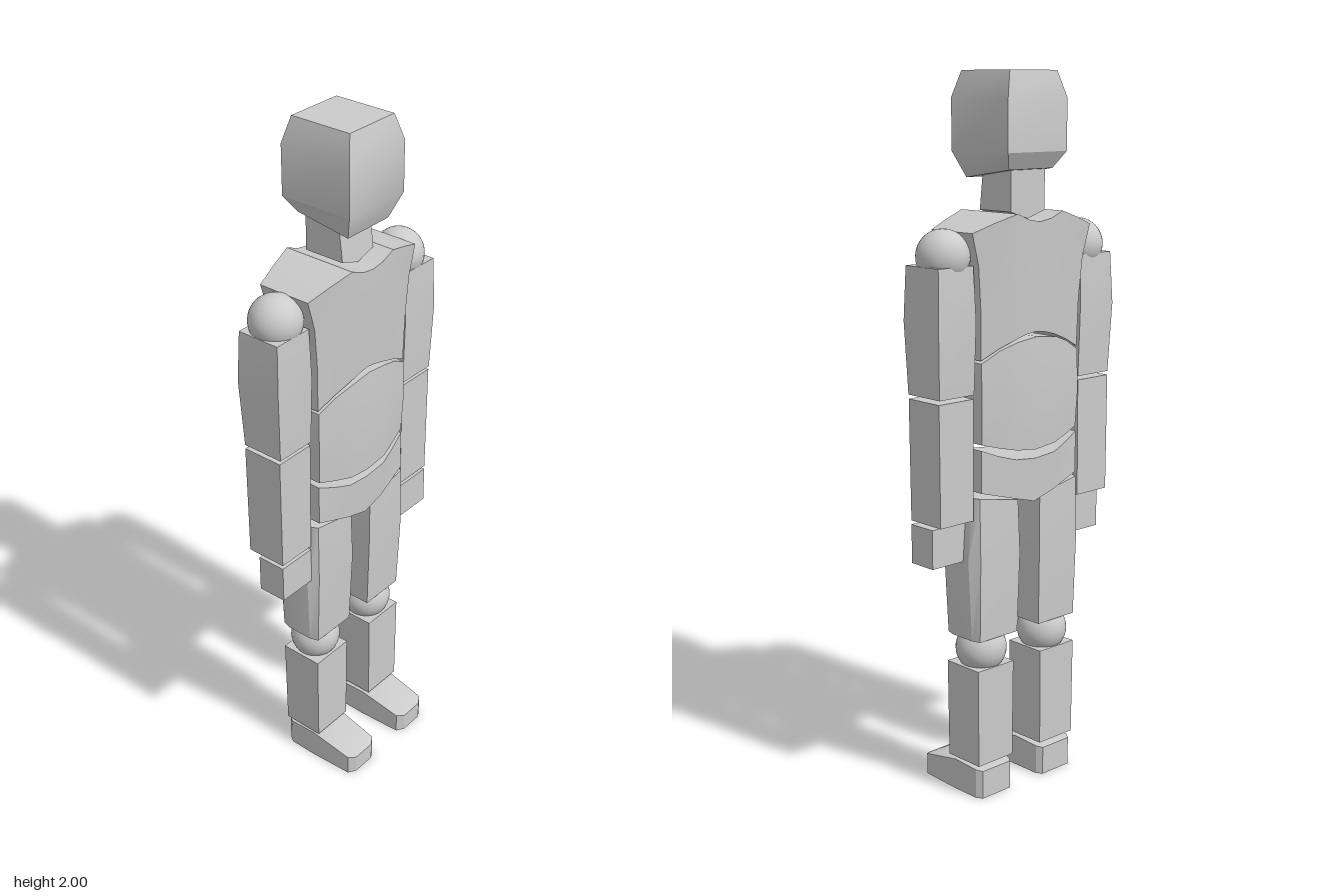
import * as THREE from 'three';
import { toCreasedNormals } from 'three/addons/utils/BufferGeometryUtils.js';

const material = new THREE.MeshStandardMaterial({ color: 0xcccccc });

// Closed solid through rings of [x, y, z]. Each ring runs counter-clockwise seen
// from the last ring; caps are strips joining point i with point n-1-i.
function loft(rings) {
  const n = rings[0].length, last = rings.length - 1, index = [];
  const quad = (a, b, c, d) => index.push(a, b, c, a, c, d);
  for (let r = 0; r < last; r++) {
    for (let i = 0; i < n; i++) {
      const j = (i + 1) % n, a = r * n, b = a + n;
      quad(a + i, a + j, b + j, b + i);
    }
  }
  for (let i = 0; i < n / 2 - 1; i++) {
    const t = last * n;
    quad(n - 1 - i, n - 2 - i, i + 1, i);
    quad(t + i, t + i + 1, t + n - 2 - i, t + n - 1 - i);
  }
  const geometry = new THREE.BufferGeometry();
  geometry.setAttribute('position', new THREE.Float32BufferAttribute(rings.flat(2), 3));
  geometry.setIndex(index);
  return toCreasedNormals(geometry, 0.45);
}

const mirror = (rings) => rings.map((ring) => ring.map(([x, y, z]) => [-x, y, z]).reverse());

// Horizontal rectangle, with separate front and back heights
const rect = (x0, x1, zBack, zFront, yFront, yBack = yFront) =>
  [[x0, yFront, zFront], [x1, yFront, zFront], [x1, yBack, zBack], [x0, yBack, zBack]];

// Torso segment: columns are [x/halfWidth, bottom, top] for the right half,
// rows are [height fraction, halfWidth, zFrontMiddle, zFrontSide, zBackMiddle, zBackSide].
function torso(columns, rows) {
  const all = [...columns.slice(1).reverse().map(([u, b, t]) => [-u, b, t]), ...columns];
  return loft(rows.map(([v, w, fm, fs, bm, bs]) => {
    const at = (mid, side) => ([u, b, t]) =>
      [u * w, b + (t - b) * v, mid + (side - mid) * Math.max(0, (Math.abs(u) - 0.4) / 0.6)];
    return [...all.map(at(fm, fs)), ...all.map(at(bm, bs)).reverse()];
  }));
}

export function createModel() {
  const model = new THREE.Group();
  model.name = 'jointedFigure';
  const add = (name, geometry, x = 0, y = 0, z = 0) => {
    const mesh = new THREE.Mesh(geometry, material);
    mesh.name = name;
    mesh.position.set(x, y, z);
    model.add(mesh);
  };

  // Head and neck
  add('head', loft([
    rect(-0.08, 0.08, -0.11, 0.055, 1.72, 1.745),
    rect(-0.108, 0.108, -0.137, 0.083, 1.79),
    rect(-0.108, 0.108, -0.137, 0.083, 1.93),
    rect(-0.086, 0.086, -0.12, 0.066, 2.0),
  ]));
  add('neck', loft([
    [[-0.062, 1.635, 0.022], [0, 1.615, 0.022], [0.062, 1.635, 0.022],
      [0.062, 1.635, -0.1], [0, 1.615, -0.1], [-0.062, 1.635, -0.1]],
    [[-0.062, 1.735, 0.01], [0, 1.735, 0.01], [0.062, 1.735, 0.01],
      [0.062, 1.745, -0.1], [0, 1.745, -0.1], [-0.062, 1.745, -0.1]],
  ]));

  // Torso: chest, abdomen and pelvis with arched joints
  add('chest', torso(
    [[0, 1.315, 1.61], [0.18, 1.311, 1.616], [0.38, 1.302, 1.634], [0.7, 1.28, 1.613], [1, 1.253, 1.59]],
    [[0, 0.18, 0.055, 0.035, -0.132, -0.11], [0.4, 0.183, 0.063, 0.038, -0.14, -0.113],
      [0.75, 0.194, 0.07, 0.04, -0.145, -0.117], [1, 0.218, 0.072, 0.04, -0.148, -0.12]],
  ));
  add('abdomen', torso(
    [[0, 0.99, 1.302], [0.4, 0.998, 1.294], [0.7, 1.01, 1.275], [1, 1.025, 1.245]],
    [[0, 0.178, 0.06, 0.035, -0.135, -0.11], [0.5, 0.182, 0.066, 0.04, -0.142, -0.115],
      [1, 0.18, 0.062, 0.038, -0.138, -0.112]],
  ));
  add('pelvis', torso(
    [[0, 0.842, 0.965], [0.4, 0.862, 0.972], [0.7, 0.877, 0.988], [1, 0.892, 1.01]],
    [[0, 0.18, 0.052, 0.035, -0.128, -0.11], [1, 0.18, 0.057, 0.035, -0.134, -0.11]],
  ));

  // Thigh outline: flat inner side, chamfered outer side
  const thigh = (inner, edge, outer, zBack, zFront, yInner, yOuter) => [
    [inner, yInner, zFront], [edge, yOuter, zFront], [outer, yOuter, zFront - 0.025],
    [outer, yOuter, zBack + 0.025], [edge, yOuter, zBack], [inner, yInner, zBack],
  ];
  // Upright section of the foot at depth z
  const footSection = (z, half, top) =>
    [[0.118 - half, 0, z], [0.118 + half, 0, z], [0.118 + half, top, z], [0.118 - half, top, z]];

  const limbs = {
    UpperArm: [
      rect(0.197, 0.318, -0.101, 0.024, 1.163),
      rect(0.196, 0.326, -0.109, 0.03, 1.36),
      rect(0.2, 0.32, -0.103, 0.026, 1.505),
    ],
    Forearm: [rect(0.2, 0.317, -0.1, 0.02, 0.818), rect(0.198, 0.319, -0.1, 0.022, 1.152)],
    Hand: [rect(0.2, 0.317, -0.066, 0.02, 0.698), rect(0.2, 0.317, -0.066, 0.02, 0.807)],
    Thigh: [
      thigh(0.042, 0.182, 0.19, -0.105, 0.026, 0.468, 0.468),
      thigh(0.038, 0.185, 0.208, -0.112, 0.036, 0.7, 0.7),
      thigh(0.042, 0.184, 0.195, -0.108, 0.034, 0.85, 0.877),
    ],
    Shin: [rect(0.055, 0.184, -0.1, 0.024, 0.1), rect(0.053, 0.186, -0.102, 0.026, 0.382)],
    Foot: [
      footSection(-0.102, 0.052, 0.082), footSection(-0.085, 0.063, 0.085), footSection(0.0, 0.064, 0.09),
      footSection(0.132, 0.058, 0.062), footSection(0.146, 0.036, 0.056),
    ],
  };

  // Arms and legs on both sides, with ball joints at shoulder and knee
  for (const [side, s] of [['left', 1], ['right', -1]]) {
    for (const [part, rings] of Object.entries(limbs)) {
      add(side + part, loft(s > 0 ? rings : mirror(rings)));
    }
    const ball = new THREE.SphereGeometry(0.072, 32, 20);
    add(side + 'ShoulderBall', ball, s * 0.25, 1.528, -0.041);
    add(side + 'KneeBall', ball, s * 0.119, 0.425, -0.04);
  }
  return model;
}
